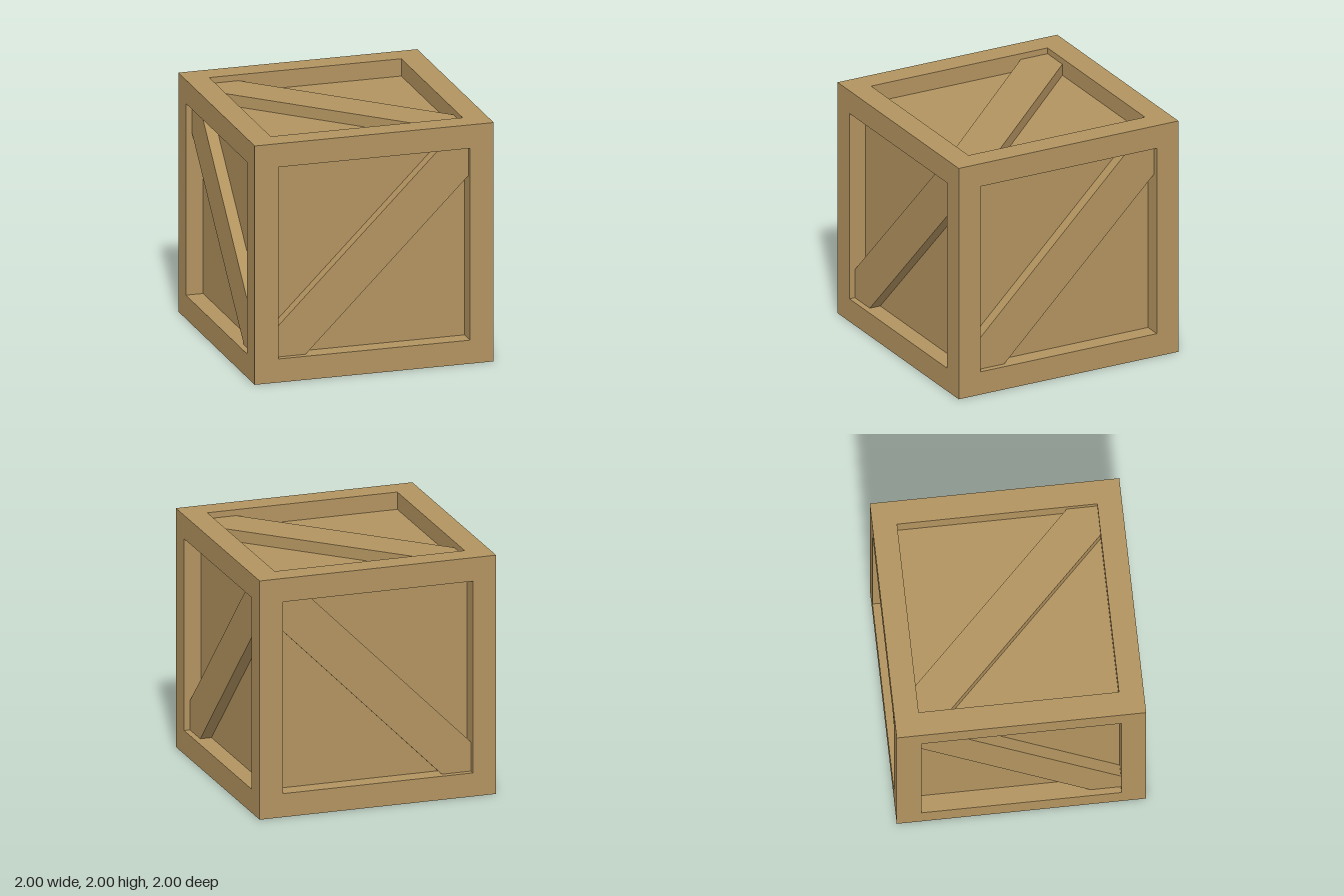
import * as THREE from 'three';

export function createModel() {
  const crate = new THREE.Group();
  crate.name = 'crate';
  const wood = new THREE.MeshStandardMaterial({ color: 0xb2935f });
  wood.name = 'wood';

  const INNER = 0.803; // half-width of each opening
  const PANEL = 0.855; // distance of the recessed panels from the centre
  const BRACE = 0.95; // distance of the brace fronts from the centre
  const BAR = 1 - INNER;
  const MID = (1 + INNER) / 2;

  const add = (parent, name, geometry, x, y, z) => {
    const mesh = new THREE.Mesh(geometry, wood);
    mesh.name = name;
    mesh.position.set(x, y, z);
    parent.add(mesh);
  };

  const body = new THREE.Group();
  body.name = 'crateBody';
  body.position.y = 1;
  crate.add(body);

  // Recessed panels on all six sides
  add(body, 'panels', new THREE.BoxGeometry(2 * PANEL, 2 * PANEL, 2 * PANEL), 0, 0, 0);

  // Frame: four full-height posts with rails between them
  const post = new THREE.BoxGeometry(BAR, 2, BAR);
  const railX = new THREE.BoxGeometry(2 * INNER, BAR, BAR);
  const railZ = new THREE.BoxGeometry(BAR, BAR, 2 * INNER);
  for (const a of [-MID, MID]) {
    for (const b of [-MID, MID]) {
      add(body, 'cornerPost', post, a, 0, b);
      add(body, 'crossRail', railX, 0, a, b);
      add(body, 'sideRail', railZ, a, b, 0);
    }
  }

  // Diagonal brace, its ends cut to fill the corners of the opening
  const k = INNER - 0.245;
  const outline = [[-INNER, -INNER], [-k, -INNER], [INNER, k], [INNER, INNER], [k, INNER], [-INNER, -k]];
  const shape = new THREE.Shape(outline.map(([x, y]) => new THREE.Vector2(x, y)));
  const thickness = BRACE - PANEL;
  const brace = new THREE.ExtrudeGeometry(shape, { depth: thickness, bevelEnabled: false });

  // A pair of parallel braces on each pair of opposite sides
  const pairs = [
    ['frontBack', 0, 0],
    ['leftRight', 0, Math.PI / 2],
    ['topBottom', Math.PI / 2, 0],
  ];
  for (const [name, rx, ry] of pairs) {
    const pair = new THREE.Group();
    pair.name = name + 'Braces';
    pair.rotation.set(rx, ry, 0);
    add(pair, 'diagonalBrace', brace, 0, 0, PANEL);
    add(pair, 'diagonalBrace', brace, 0, 0, -BRACE);
    body.add(pair);
  }

  return crate;
}
